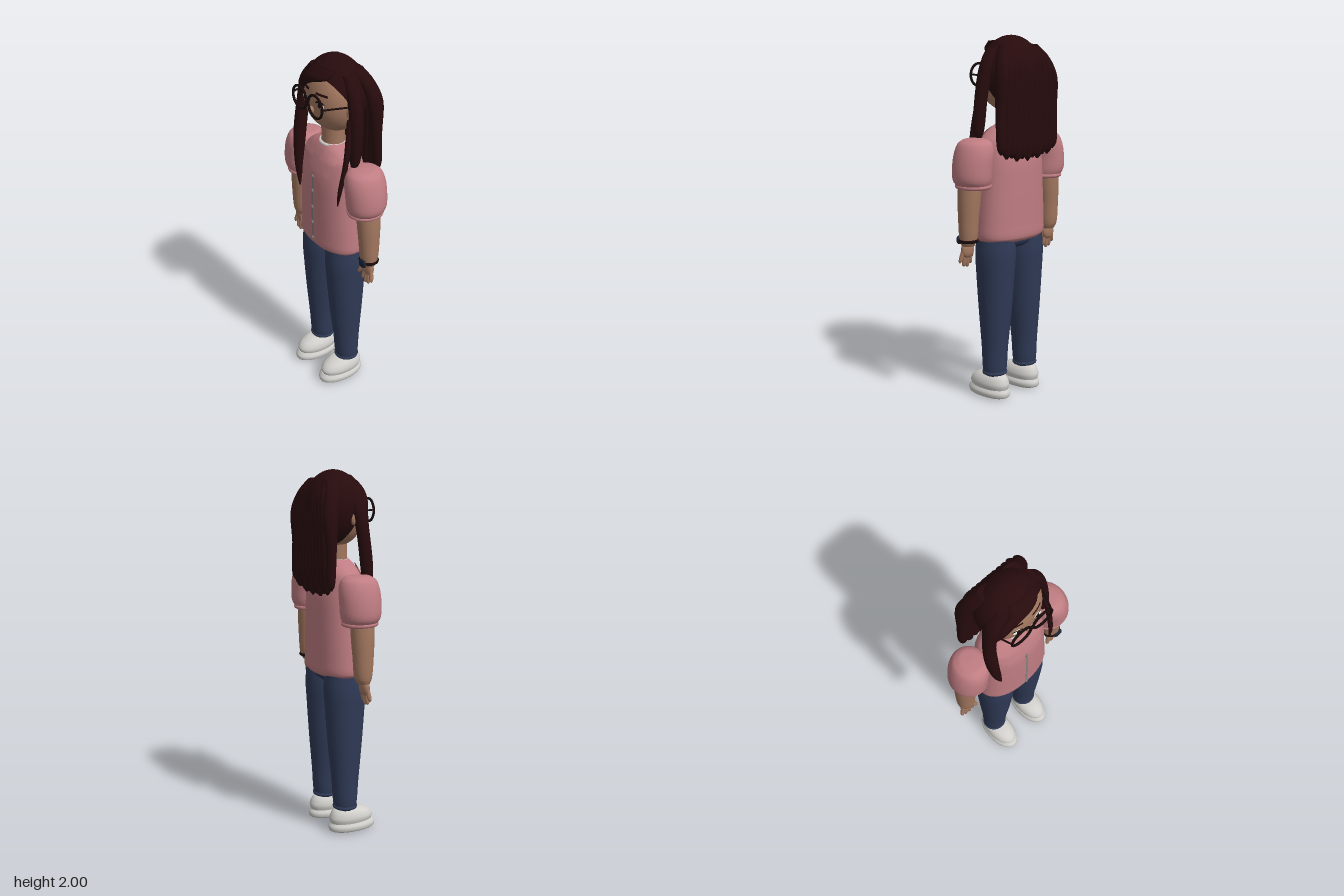
import * as THREE from 'three';

const mat = (name, color, side = THREE.FrontSide) => {
  const m = new THREE.MeshStandardMaterial({ color, side });
  m.name = name;
  return m;
};

// superellipse factor: pushes a unit direction out to a rounder or boxier outline
const boxy = (p, ...v) => 1 / Math.pow(v.reduce((s, c) => s + Math.abs(c) ** p, 0), 1 / p);

// closed body through horizontal sections [y, cx, cz, rx, rz], listed from bottom to top
function loft(rows, side = 1, p = 2, seg = 28) {
  const centre = new THREE.CatmullRomCurve3(rows.map(r => new THREE.Vector3(r[1] * side, r[0], r[2])));
  const radius = new THREE.CatmullRomCurve3(rows.map(r => new THREE.Vector3(r[3], r[4], r[0])));
  const n = (rows.length - 1) * 5, rings = [[0, 0], [0, 1]];
  for (let i = 0; i <= n; i++) rings.push([i / n, 1]);
  rings.push([1, 1], [1, 0]);
  const pos = [], index = [];
  rings.forEach(([t, k], i) => {
    const c = centre.getPoint(t), r = radius.getPoint(t);
    for (let j = 0; j < seg; j++) {
      const a = j / seg * Math.PI * 2, x = Math.cos(a), z = Math.sin(a), f = k * boxy(p, x, z);
      pos.push(c.x + x * f * r.x, c.y, c.z + z * f * r.y);
      if (i === rings.length - 1) continue;
      const q = i * seg + j, w = i * seg + (j + 1) % seg;
      index.push(q, q + seg, w, w, q + seg, w + seg);
    }
  });
  const g = new THREE.BufferGeometry();
  g.setAttribute('position', new THREE.Float32BufferAttribute(pos, 3));
  g.setIndex(index);
  g.computeVertexNormals();
  return g;
}

// ellipsoid, boxier for p above 2
function blob(x, y, z, rx, ry, rz, p = 2, seg = 28) {
  const g = new THREE.SphereGeometry(1, seg, Math.ceil(seg * 0.7)), a = g.attributes.position;
  for (let i = 0; i < a.count; i++) {
    const v = new THREE.Vector3().fromBufferAttribute(a, i);
    v.multiplyScalar(boxy(p, v.x, v.y, v.z));
    a.setXYZ(i, x + v.x * rx, y + v.y * ry, z + v.z * rz);
  }
  g.computeVertexNormals();
  return g;
}

// four-cornered patch (bottom left, bottom right, top right, top left) laid on a surface
function patch([a, b, c, d], surface, lift, side = 1) {
  const q = (side > 0 ? [a, b, c, d] : [b, a, d, c]).map(v => [v[0] * side, v[1]]);
  const g = new THREE.PlaneGeometry(1, 1, 8, 8), pos = g.attributes.position;
  for (let i = 0; i < pos.count; i++) {
    const u = pos.getX(i) + 0.5, v = pos.getY(i) + 0.5;
    const [x, y] = [0, 1].map(k => (1 - v) * ((1 - u) * q[0][k] + u * q[1][k]) + v * ((1 - u) * q[3][k] + u * q[2][k]));
    pos.setXYZ(i, x, y, surface(x, y) + lift);
  }
  g.computeVertexNormals();
  return g;
}

// horizontal oval ring
const ring = (x, y, z, rx, rz, tube) =>
  new THREE.TorusGeometry(1, tube / rx, 10, 36).rotateX(Math.PI / 2).scale(rx, rx, rz).translate(x, y, z);

const rod = (from, to, r) =>
  new THREE.TubeGeometry(new THREE.LineCurve3(new THREE.Vector3(...from), new THREE.Vector3(...to)), 1, r, 8);

export function createModel() {
  const model = new THREE.Group();
  const skin = mat('skin', 0xa2775f), hair = mat('dark brown hair', 0x270b0d, THREE.DoubleSide);
  const pink = mat('pink jacket', 0xbf7d82, THREE.DoubleSide), denim = mat('navy denim', 0x2f3a56);
  const shoe = mat('light grey', 0xd0cfcb), frame = mat('black brown', 0x180a0a, THREE.DoubleSide);
  const metal = mat('zip metal', 0x85807e), white = mat('white', 0xeeebe6), lip = mat('lip brown', 0x7a453c);
  const glass = mat('watch blue', 0x1c2233);
  const add = (name, geometry, material) => {
    const m = new THREE.Mesh(geometry, material);
    m.name = name;
    model.add(m);
    return m;
  };

  // jacket body
  const torso = [[0.9, 0, -0.005, 0.205, 0.122], [0.92, 0, -0.005, 0.222, 0.136], [1.0, 0, -0.005, 0.222, 0.138],
    [1.2, 0, -0.005, 0.21, 0.138], [1.35, 0, -0.005, 0.202, 0.132], [1.45, 0, -0.005, 0.19, 0.106],
    [1.5, 0, -0.005, 0.13, 0.085], [1.525, 0, -0.005, 0.078, 0.07]];
  const P = 2.3;
  add('jacket', loft(torso, 1, P, 48), pink);
  const chest = (x, y) => {
    const i = Math.max(1, torso.findIndex(r => r[0] >= y)), a = torso[i - 1], b = torso[i];
    const t = (y - a[0]) / (b[0] - a[0]), rx = a[3] + t * (b[3] - a[3]), rz = a[4] + t * (b[4] - a[4]);
    return -0.005 + rz * Math.max(0, 1 - Math.abs(x / rx) ** P) ** (1 / P);
  };
  add('chestPocket', patch([[-0.145, 1.2], [-0.085, 1.2], [-0.07, 1.25], [-0.155, 1.25]], chest, 0.005), pink);
  add('slantPocket', patch([[0.165, 0.975], [0.185, 0.97], [0.145, 1.11], [0.138, 1.105]], chest, 0.006), pink);
  add('zip', patch([[-0.007, 0.94], [0.007, 0.94], [0.007, 1.36], [-0.007, 1.36]], chest, 0.004), metal);
  for (const y of [0.95, 1.05, 1.15, 1.25, 1.34]) add('zipStud', blob(0, y, chest(0, y) + 0.005, 0.008, 0.012, 0.006, 2, 12), metal);
  add('shirtNeckline', ring(0, 1.517, 0, 0.07, 0.066, 0.009), shoe);
  add('hips', blob(0, 0.9, -0.005, 0.19, 0.06, 0.11), denim);

  // limbs, built on both sides
  for (const s of [1, -1]) {
    add('collarFlap', patch([[0.11, 1.37], [0.145, 1.47], [0.05, 1.51], [0.02, 1.435]], chest, 0.012, s), pink);
    add('sleeve', loft([[1.215, 0.28, -0.008, 0.085, 0.09], [1.25, 0.288, -0.008, 0.1, 0.107],
      [1.32, 0.286, -0.008, 0.103, 0.113], [1.4, 0.272, -0.008, 0.1, 0.111], [1.445, 0.265, -0.008, 0.085, 0.095],
      [1.465, 0.26, -0.008, 0.055, 0.065], [1.47, 0.26, -0.008, 0.01, 0.01]], s, 2, 36), pink);
    add('sleeveHem', ring(0.28 * s, 1.218, -0.008, 0.083, 0.087, 0.013), pink);
    add('arm', loft([[0.9, 0.32, -0.006, 0.038, 0.032], [0.93, 0.32, -0.008, 0.048, 0.046], [1.05, 0.318, -0.008, 0.055, 0.057],
      [1.15, 0.312, -0.008, 0.061, 0.063], [1.25, 0.305, -0.008, 0.062, 0.065]], s), skin);
    add('palm', blob(0.322 * s, 0.878, -0.002, 0.042, 0.043, 0.022, 2.3), skin);
    [[-0.026, 0.797], [-0.005, 0.782], [0.017, 0.787], [0.04, 0.81]].forEach(([o, tip]) =>
      add('finger', loft([[tip, 0.322 + o * 1.15, 0.008, 0.004, 0.004], [tip + 0.01, 0.322 + o * 1.1, 0.007, 0.01, 0.01],
        [0.875, 0.322 + o * 0.75, 0, 0.012, 0.012]], s, 2, 12), skin));
    add('thumb', loft([[0.828, 0.272, 0.018, 0.005, 0.005], [0.84, 0.274, 0.018, 0.011, 0.011],
      [0.89, 0.3, 0.006, 0.015, 0.014]], s, 2, 12), skin);

    add('trouserLeg', loft([[0.13, 0.122, -0.008, 0.052, 0.052], [0.15, 0.122, -0.008, 0.065, 0.062],
      [0.3, 0.12, -0.007, 0.072, 0.076], [0.5, 0.115, -0.006, 0.088, 0.095], [0.7, 0.112, -0.005, 0.1, 0.11],
      [0.82, 0.11, -0.005, 0.106, 0.117], [0.91, 0.108, -0.005, 0.1, 0.112]], s), denim);
    add('trouserCuff', ring(0.122 * s, 0.147, -0.008, 0.06, 0.058, 0.011), denim);
    add('shoeSole', loft([[0, 0.122, 0.035, 0.05, 0.11], [0.012, 0.122, 0.035, 0.073, 0.136], [0.035, 0.122, 0.035, 0.078, 0.14],
      [0.058, 0.122, 0.035, 0.066, 0.125]], s, 2.1, 36), shoe);
    add('shoeUpper', loft([[0.05, 0.122, 0.03, 0.066, 0.122], [0.08, 0.122, 0.03, 0.074, 0.13], [0.11, 0.122, 0.024, 0.067, 0.115],
      [0.132, 0.122, 0.012, 0.05, 0.085], [0.142, 0.122, 0.005, 0.02, 0.04]], s, 2.1, 36), shoe);
  }
  add('watchBand', ring(0.32, 0.928, -0.008, 0.047, 0.045, 0.009), frame);
  add('watchFace', blob(0.33, 0.928, 0.042, 0.026, 0.024, 0.01, 3), glass);

  // head and face
  const H = { y: 1.772, z: -0.005, rx: 0.173, ry: 0.177, rz: 0.138, p: 2.15 };
  add('neck', loft([[1.47, 0, 0, 0.068, 0.062], [1.55, 0, 0, 0.066, 0.06], [1.66, 0, 0, 0.068, 0.06]]), skin);
  add('head', blob(0, H.y, H.z, H.rx, H.ry, H.rz, H.p, 48), skin);
  const face = (x, y) => H.z + H.rz *
    Math.max(0, 1 - Math.abs(x / H.rx) ** H.p - Math.abs((y - H.y) / H.ry) ** H.p) ** (1 / H.p);
  add('nose', blob(0, 1.735, 0.133, 0.018, 0.02, 0.022), skin);
  for (const s of [1, -1]) {
    const x = 0.063 * s, z = face(x, 1.78);
    add('ear', blob(0.172 * s, 1.755, 0.015, 0.016, 0.036, 0.022), skin);
    add('eye', blob(x, 1.78, z - 0.002, 0.028, 0.017, 0.009), white);
    add('iris', blob(x, 1.781, z + 0.005, 0.012, 0.013, 0.005, 2, 16), frame);
    add('eyelid', patch([[0.033, 1.79], [0.095, 1.79], [0.085, 1.802], [0.045, 1.802]], face, 0.006, s), frame);
    add('eyebrow', patch([[0.03, 1.832], [0.105, 1.83], [0.1, 1.842], [0.03, 1.843]], face, 0.004, s), hair);
    add('teeth', patch([[0, 1.682], [0.045, 1.699], [0.045, 1.702], [0, 1.694]], face, 0.004, s), white);
    add('lowerLip', patch([[0, 1.675], [0.04, 1.692], [0.045, 1.699], [0, 1.682]], face, 0.004, s), lip);
    // spectacles
    add('lensRim', new THREE.TorusGeometry(0.061, 0.007, 10, 40).translate(0.069 * s, 1.785, 0.159), frame);
    add('templeArm', rod([0.13 * s, 1.79, 0.159], [0.178 * s, 1.79, 0.03], 0.005), frame);
  }
  add('spectacleBridge', blob(0, 1.792, 0.161, 0.012, 0.007, 0.01, 2, 16), frame);

  // hair cap, cut along a slanted plane to leave the face free
  const cap = new THREE.SphereGeometry(1, 56, 36, 0, Math.PI * 2, 0, 1.885);
  cap.applyQuaternion(new THREE.Quaternion().setFromUnitVectors(
    new THREE.Vector3(0, 1, 0), new THREE.Vector3(-0.154, 0.686, -1).normalize()));
  cap.scale(0.185, 0.205, 0.155).translate(0, 1.795, -0.015);
  cap.computeVertexNormals();
  add('hairCap', cap, hair);
  add('fringe', loft([[1.72, -0.172, 0.055, 0.012, 0.02], [1.8, -0.142, 0.08, 0.034, 0.032], [1.87, -0.08, 0.094, 0.06, 0.034],
    [1.92, 0, 0.092, 0.085, 0.036], [1.97, 0.02, 0.05, 0.08, 0.03]]), hair);

  // long strands down the back
  for (let i = -5; i <= 5; i++) {
    const x = i * 0.04, end = 1.335 + 0.012 * Math.abs(i % 2) + 0.0015 * i * i, edge = Math.abs(i) > 4 ? 0.012 : 0;
    add('backStrand', loft([[end, x, -0.135, 0.006, 0.006], [end + 0.03, x, -0.138, 0.024, 0.022],
      [1.6, x, -0.145 + edge, 0.028, 0.028], [1.78, x * 0.94, -0.142 + edge, 0.03, 0.032 + edge],
      [1.88, x * 0.78, -0.115 + edge, 0.03, 0.042], [1.95, x * 0.5, -0.07, 0.028, 0.04]], 1, 2, 16), hair);
  }
  // strands framing the face
  add('rightFrontStrand', loft([[1.2, -0.16, 0.108, 0.004, 0.004], [1.3, -0.178, 0.1, 0.022, 0.02],
    [1.5, -0.196, 0.08, 0.034, 0.034], [1.7, -0.188, 0.058, 0.034, 0.036], [1.85, -0.15, 0.045, 0.036, 0.05],
    [1.94, -0.08, 0.04, 0.04, 0.04]], 1, 2, 20), hair);
  add('leftSideStrand', loft([[1.46, 0.215, 0.02, 0.018, 0.016], [1.5, 0.216, 0.016, 0.032, 0.026], [1.7, 0.206, 0.002, 0.035, 0.036],
    [1.85, 0.172, -0.005, 0.036, 0.04], [1.94, 0.12, -0.005, 0.035, 0.035]], 1, 2, 20), hair);
  add('leftWisp', loft([[1.24, 0.19, 0.105, 0.003, 0.003], [1.32, 0.2, 0.1, 0.012, 0.01], [1.5, 0.208, 0.065, 0.016, 0.014],
    [1.72, 0.19, 0.03, 0.016, 0.016]], 1, 2, 14), hair);

  return model;
}
